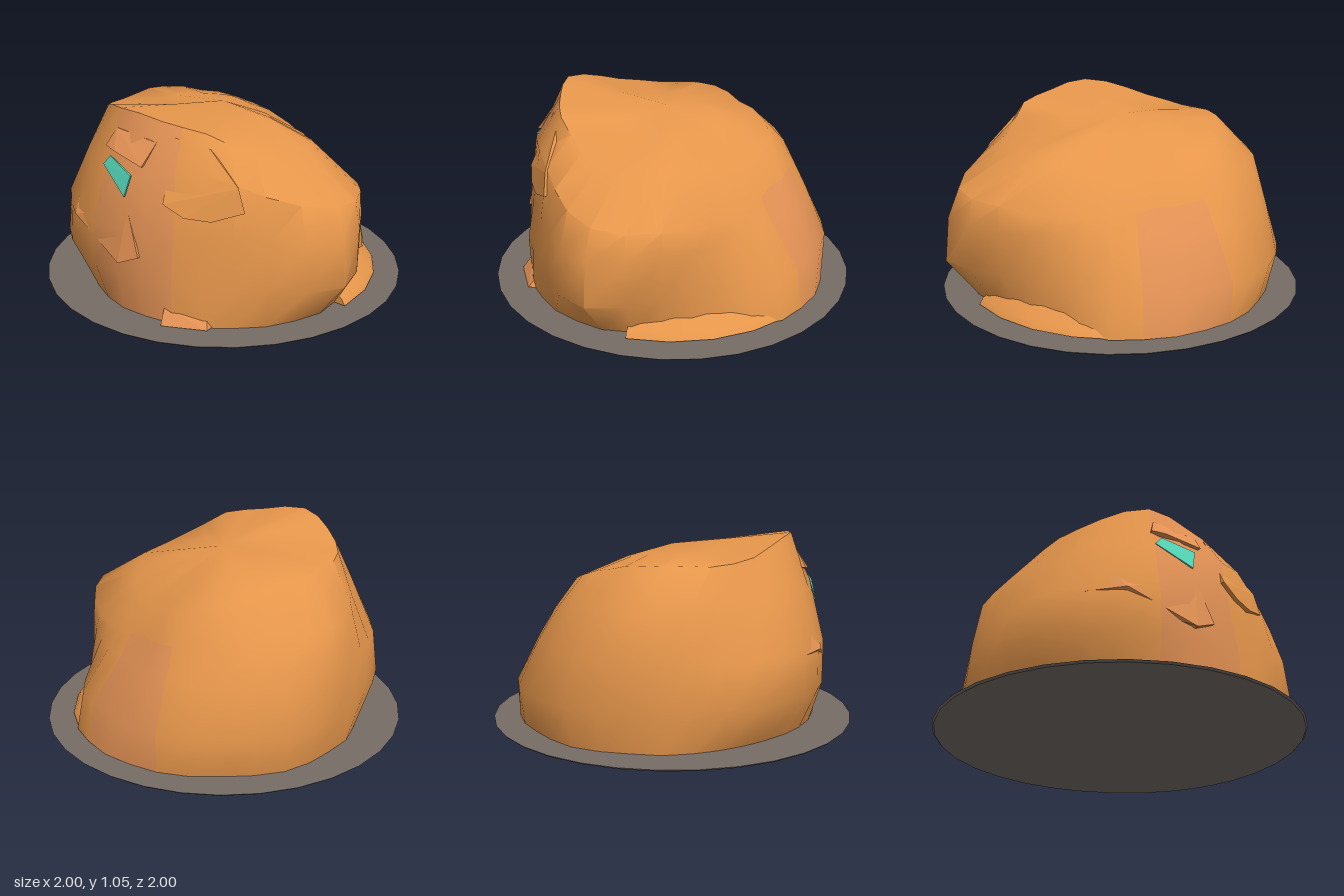
import * as THREE from 'three';
import { mergeVertices, toCreasedNormals } from 'three/addons/utils/BufferGeometryUtils.js';
import { ConvexGeometry } from 'three/addons/geometries/ConvexGeometry.js';

const paint = (name, color) => Object.assign(new THREE.MeshStandardMaterial({ color }), { name });

// One profile every 22.5 degrees, from +x round through +z:
// radius at base, belly and middle, then shoulder radius/height and crown radius/height
const PROFILES = [
  [0.76, 0.76, 0.72, 0.69, 0.58, 0.48, 0.77],
  [0.76, 0.82, 0.83, 0.82, 0.61, 0.53, 0.82],
  [0.82, 0.99, 0.97, 0.91, 0.64, 0.59, 0.82],
  [0.82, 0.87, 0.84, 0.79, 0.71, 0.61, 0.87],
  [0.81, 0.81, 0.77, 0.74, 0.82, 0.61, 0.98],
  [0.79, 0.82, 0.80, 0.75, 0.79, 0.61, 1.03],
  [0.78, 0.84, 0.84, 0.76, 0.77, 0.65, 1.06],
  [0.75, 0.86, 0.85, 0.74, 0.78, 0.63, 1.00],
  [0.74, 0.86, 0.84, 0.70, 0.75, 0.62, 0.94],
  [0.78, 0.82, 0.79, 0.72, 0.75, 0.58, 0.93],
  [0.80, 0.84, 0.82, 0.78, 0.72, 0.57, 0.93],
  [0.84, 0.88, 0.81, 0.72, 0.73, 0.51, 0.90],
  [0.83, 0.88, 0.76, 0.67, 0.70, 0.54, 0.84],
  [0.85, 0.86, 0.74, 0.65, 0.63, 0.53, 0.78],
  [0.86, 0.82, 0.66, 0.58, 0.61, 0.47, 0.76],
  [0.86, 0.82, 0.67, 0.60, 0.57, 0.46, 0.75],
];

// Smooth closed interpolation of one profile column
function column(deg, k) {
  const t = (((deg / 22.5) % 16) + 16) % 16, i = Math.floor(t), f = t - i;
  const p = (n) => PROFILES[(i + n + 16) % 16][k];
  const a = p(-1), b = p(0), c = p(1), d = p(2);
  return b + 0.5 * f * (c - a + f * (2 * a - 5 * b + 4 * c - d + f * (3 * (b - c) + d - a)));
}

// [radius, height] points of the profile at an angle
function profile(deg) {
  const c = (k) => column(deg, k);
  return [[c(0), 0.025], [c(1), 0.24], [c(2), 0.48], [c(3), c(4)], [c(5), c(6)]];
}

const polar = (deg, r, y) => {
  const a = THREE.MathUtils.degToRad(deg);
  return new THREE.Vector3(r * Math.cos(a), y, r * Math.sin(a));
};

// Point on the wall of the body, moved outward by `out`
function onWall([deg, y, out = 0]) {
  const p = profile(deg);
  let i = 0;
  while (i < 3 && y > p[i + 1][1]) i++;
  const f = (y - p[i][1]) / (p[i + 1][1] - p[i][1]);
  return polar(deg, THREE.MathUtils.lerp(p[i][0], p[i + 1][0], f) + out, y);
}

function makeBody(bodyMat, faceMat) {
  const N = 32, verts = [];
  let seed = 7;
  const rough = () => ((seed = (seed * 16807) % 2147483647) / 2147483647 - 0.5) * 0.012;
  for (let j = 0; j < N; j++) {
    const deg = (j * 360) / N, p = profile(deg);
    p.push([p[4][0] * 0.5, p[4][1] * 0.4 + 0.975 * 0.6]);
    verts.push(p.map(([r, y], i) => polar(deg, r + rough(), y + (i ? rough() : 0))));
  }
  const top = new THREE.Vector3(0, 0.975, 0);
  const sets = [[], []];
  const add = (set, ...pts) => pts.forEach((p) => set.push(p.x, p.y, p.z));
  for (let j = 0; j < N; j++) {
    const a = verts[j], b = verts[(j + 1) % N], deg = (j * 360) / N;
    for (let i = 0; i < 5; i++) {
      const warm = i < 4 && ((deg >= 100 && deg < 135) || (i < 3 && deg >= 285 && deg < 325));
      const set = sets[warm ? 1 : 0];
      add(set, a[i], a[i + 1], b[i]);
      add(set, a[i + 1], b[i + 1], b[i]);
    }
    add(sets[0], a[5], top, b[5]);
  }
  // Crease the whole skin together so the colour patches share their shading
  let geo = new THREE.BufferGeometry();
  geo.setAttribute('position', new THREE.Float32BufferAttribute([...sets[0], ...sets[1]], 3));
  geo = toCreasedNormals(mergeVertices(geo, 1e-4), 0.8);
  const n0 = sets[0].length / 3;
  geo.addGroup(0, n0, 0);
  geo.addGroup(n0, sets[1].length / 3, 1);
  return new THREE.Mesh(geo, [bodyMat, faceMat]);
}

// Faceted lump bulging from the wall, from its outer outline
function lump(points, mat, depth = 0.07) {
  const pts = points.flatMap((p) => [onWall(p), onWall([p[0], p[1], -depth])]);
  return new THREE.Mesh(new ConvexGeometry(pts), mat);
}

export function createModel() {
  const group = new THREE.Group();
  const clay = paint('orange clay', 0xe6964b);
  const warm = paint('warm clay', 0xe29154);
  const stone = paint('grey stone', 0x766c66);
  const teal = paint('teal', 0x56dabc);
  const add = (name, mesh) => {
    mesh.name = name;
    group.add(mesh);
    return mesh;
  };

  // Thin round base, dipping slightly at its left edge
  const disc = new THREE.CylinderGeometry(1, 0.99, 0.01, 32);
  const pos = disc.attributes.position;
  for (let i = 0; i < pos.count; i++) {
    pos.setY(i, pos.getY(i) - 0.012 * Math.max(0, pos.getX(i)) ** 4);
  }
  add('base', new THREE.Mesh(disc, stone)).position.y = 0.02;

  add('body', makeBody(clay, warm));

  // Face: snout plate, brow and the single visible eye
  add('snout', lump([[104, 0.96, 0], [105, 0.66, 0.015], [97, 0.6, 0.02], [87, 0.59, 0.02],
    [75, 0.64, 0.015], [77, 0.76, 0.01], [88, 0.92, 0]], clay));
  add('brow', lump([[136, 0.87, 0.02], [130, 0.86, 0.02], [115, 0.82, 0.02],
    [112, 0.93, 0], [134, 0.96, 0]], warm));
  add('eye', lump([[135, 0.78, 0.012], [132, 0.83, 0.012], [119, 0.77, 0.018], [121, 0.66, 0.018]], teal, -0.008));

  // Overhanging jaw, and a toe on the base
  add('jaw', lump([[160, 0.46, 0.0], [146, 0.47, 0.02], [122, 0.31, 0.02], [114, 0.36, 0.01],
    [120, 0.6, 0], [150, 0.56, 0]], warm, 0.1));
  add('toe', new THREE.Mesh(new ConvexGeometry([
    [-0.21, 0.03, 0.83], [0.03, 0.03, 0.85], [0.08, 0.03, 0.74], [-0.21, 0.03, 0.7],
    [-0.2, 0.11, 0.77], [0.02, 0.1, 0.78],
  ].map((p) => new THREE.Vector3(...p))), warm));

  // Low skirt spreading over the base along the left side
  const skirt = [];
  for (let deg = -40; deg <= 35; deg += 15) {
    skirt.push(polar(deg, 0.86, 0.028), polar(deg, 0.84, 0.06), polar(deg, 0.7, 0.15), polar(deg, 0.6, 0.028));
  }
  add('skirt', new THREE.Mesh(toCreasedNormals(new ConvexGeometry(skirt), 0.6), clay));
  return group;
}
